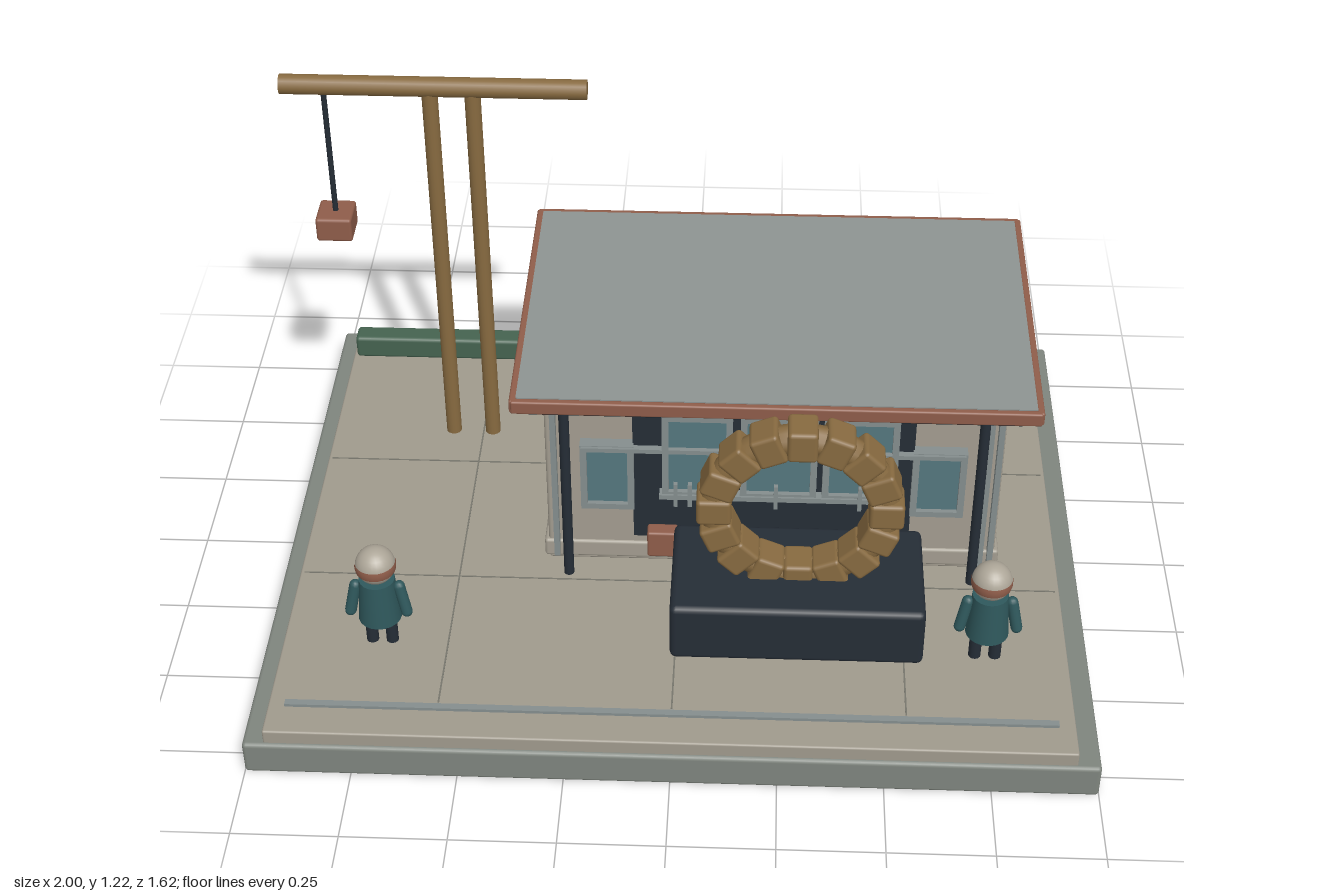
import * as THREE from 'three';
import { RoundedBoxGeometry } from 'three/addons/geometries/RoundedBoxGeometry.js';

const COLORS = {
  stone: 0x7f857e, paving: 0xa09a8d, joint: 0x77766d, hedge: 0x456350, wall: 0xa39d90, dark: 0x252d36,
  copper: 0x8f5d4a, wood: 0x876a40, coat: 0x2f585c, glass: 0x55787f, roof: 0x8d9492, frame: 0x858e8e, head: 0xada698,
};
const materials = {};
for (const key in COLORS) materials[key] = new THREE.MeshStandardMaterial({ color: COLORS[key] });

function add(parent, name, geometry, color, x = 0, y = 0, z = 0) {
  const mesh = new THREE.Mesh(geometry, materials[color]);
  mesh.name = name;
  mesh.position.set(x, y, z);
  parent.add(mesh);
  return mesh;
}

// Box given by its extents; r > 0 softens the edges
function span(parent, name, color, [x0, x1], [y0, y1], [z0, z1], r = 0) {
  const size = [x1 - x0, y1 - y0, z1 - z0];
  const geometry = r ? new RoundedBoxGeometry(...size, 2, r) : new THREE.BoxGeometry(...size);
  return add(parent, name, geometry, color, (x0 + x1) / 2, (y0 + y1) / 2, (z0 + z1) / 2);
}

function group(parent, name, x = 0, y = 0, z = 0) {
  const g = new THREE.Group();
  g.name = name;
  g.position.set(x, y, z);
  parent.add(g);
  return g;
}

function buildGround(root) {
  const g = group(root, 'ground');
  span(g, 'base', 'stone', [-1, 1], [0, 0.09], [-0.81, 0.81], 0.01);
  span(g, 'plaza', 'paving', [-0.95, 0.945], [0.085, 0.126], [-0.7, 0.8], 0.005);
  span(g, 'hedge', 'hedge', [-0.94, 0.935], [0.126, 0.192], [-0.705, -0.645], 0.01);
  span(g, 'kerbStrip', 'frame', [-0.91, 0.905], [0.124, 0.134], [0.7, 0.717]);
  // Faint paving joints
  for (const x of [-0.55, 0, 0.55]) span(g, 'pavingJoint', 'joint', [x - 0.002, x + 0.002], [0.125, 0.127], [-0.64, 0.69]);
  for (const z of [-0.2, 0.25]) span(g, 'pavingJoint', 'joint', [-0.94, 0.935], [0.125, 0.127], [z - 0.002, z + 0.002]);
}

// Framed pane with a central transom
function buildWindow(parent, x0, x1, y0, y1, z) {
  const g = group(parent, 'window');
  const t = 0.008;
  span(g, 'glass', 'glass', [x0, x1], [y0, y1], [z - 0.015, z]);
  for (const x of [x0, x1]) span(g, 'frameSide', 'frame', [x - t, x + t], [y0 - t, y1 + t], [z - 0.02, z + 0.012]);
  for (const y of [y0, y1]) span(g, 'frameRail', 'frame', [x0, x1], [y - t, y + t], [z - 0.02, z + 0.012]);
}

function buildHouse(root) {
  const g = group(root, 'building');
  span(g, 'walls', 'wall', [-0.33, 0.785], [0.126, 0.615], [-0.495, 0.17], 0.008);
  span(g, 'plinth', 'wall', [-0.34, 0.795], [0.138, 0.19], [-0.505, 0.177], 0.008);

  // Layered eaves and the gently tilted roof
  span(g, 'eavesBand', 'dark', [-0.365, 0.82], [0.61, 0.638], [-0.525, 0.205], 0.006);
  span(g, 'lowerCornice', 'copper', [-0.385, 0.84], [0.638, 0.676], [-0.55, 0.22], 0.008);
  const roof = group(g, 'roof', 0.228, 0.703, -0.113);
  roof.rotation.x = 0.012;
  const hx = 0.622, hz = 0.4;
  span(roof, 'roofPanel', 'roof', [-hx + 0.012, hx - 0.012], [-0.025, 0.02], [-hz + 0.012, hz - 0.012]);
  for (const s of [-1, 1]) {
    const edge = (h) => [s * h - 0.009, s * h + 0.009];
    span(roof, 'fasciaLong', 'copper', [-hx, hx], [-0.018, 0.018], edge(hz - 0.005), 0.005);
    span(roof, 'fasciaShort', 'copper', edge(hx - 0.005), [-0.018, 0.018], [-hz, hz], 0.005);
  }

  // Porch columns
  for (const x of [-0.275, 0.725]) {
    add(g, 'porchColumn', new THREE.CylinderGeometry(0.0125, 0.0125, 0.545, 16), 'dark', x, 0.41, 0.235);
  }

  // Entrance front with tall panes, and side windows
  span(g, 'entranceSurround', 'dark', [-0.115, 0.567], [0.22, 0.622], [0.165, 0.185]);
  for (const [x0, x1] of [[-0.035, 0.12], [0.155, 0.325], [0.355, 0.52]]) {
    buildWindow(g, x0, x1, 0.375, 0.61, 0.195);
  }
  buildWindow(g, -0.235, -0.12, 0.325, 0.508, 0.188);
  buildWindow(g, 0.572, 0.687, 0.325, 0.508, 0.188);
  span(g, 'crossRail', 'frame', [-0.24, 0.69], [0.502, 0.514], [0.19, 0.207]);
  span(g, 'sill', 'frame', [-0.05, 0.535], [0.362, 0.376], [0.185, 0.212]);
  for (const x of [-0.01, 0.025, 0.235, 0.44]) span(g, 'handle', 'frame', [x - 0.005, x + 0.005], [0.34, 0.41], [0.2, 0.212]);
  for (const x of [-0.308, -0.285, 0.748, 0.772]) {
    span(g, 'cornerStrip', 'frame', [x - 0.007, x + 0.007], [0.15, 0.61], [0.165, 0.19]);
  }
  span(g, 'crate', 'copper', [-0.08, -0.005], [0.185, 0.262], [0.185, 0.225], 0.006);
}

// Chunky segmented ring standing on a dark block
function buildSculpture(root) {
  const g = group(root, 'ringSculpture');
  span(g, 'pedestal', 'dark', [-0.01, 0.59], [0.175, 0.335], [0.265, 0.573], 0.015);
  const ring = group(g, 'ring', 0.29, 0.532, 0.418);
  add(ring, 'ringCore', new THREE.TorusGeometry(0.2, 0.036, 12, 48), 'wood');
  const count = 16;
  const chunk = new RoundedBoxGeometry(0.07, 0.082, 0.086, 2, 0.01);
  for (let i = 0; i < count; i++) {
    const a = (i / count) * Math.PI * 2;
    const mesh = add(ring, 'ringSegment', chunk, 'wood', -Math.sin(a) * 0.201, Math.cos(a) * 0.201, 0);
    mesh.rotation.z = a;
  }
}

// Pole gantry with a hanging weight
function buildGantry(root) {
  const g = group(root, 'gantry', 0, 0, -0.335);
  for (const x of [-0.63, -0.525]) {
    add(g, 'post', new THREE.CylinderGeometry(0.02, 0.02, 1.06, 16), 'wood', x, 0.655, 0);
  }
  add(g, 'beam', new THREE.CylinderGeometry(0.025, 0.025, 0.75, 16), 'wood', -0.62, 1.192, 0).rotation.z = Math.PI / 2;
  add(g, 'rope', new THREE.CylinderGeometry(0.007, 0.007, 0.37, 8), 'dark', -0.89, 1.0, 0);
  span(g, 'weight', 'copper', [-0.936, -0.845], [0.762, 0.828], [-0.048, 0.048], 0.008);
}

function buildFigure(root, x, z) {
  const g = group(root, 'figure', x, 0, z);
  add(g, 'torso', new THREE.CylinderGeometry(0.043, 0.052, 0.12, 20), 'coat', 0, 0.265, 0);
  add(g, 'head', new THREE.SphereGeometry(0.048, 24, 16), 'head', 0, 0.368, 0);
  add(g, 'faceBand', new THREE.SphereGeometry(0.0495, 24, 6, 0, Math.PI * 2, 1.35, 0.5), 'copper', 0, 0.368, 0);
  for (const s of [-1, 1]) {
    add(g, 'leg', new THREE.CylinderGeometry(0.015, 0.015, 0.09, 12), 'dark', s * 0.024, 0.17, 0);
    const arm = add(g, 'arm', new THREE.CapsuleGeometry(0.014, 0.075, 4, 12), 'coat', s * 0.06, 0.268, 0.008);
    arm.rotation.set(-0.12, 0, s * 0.2);
  }
}

export function createModel() {
  const root = new THREE.Group();
  root.name = 'courtyard';
  buildGround(root);
  buildHouse(root);
  buildSculpture(root);
  buildGantry(root);
  buildFigure(root, -0.71, 0.48);
  buildFigure(root, 0.745, 0.48);
  return root;
}
